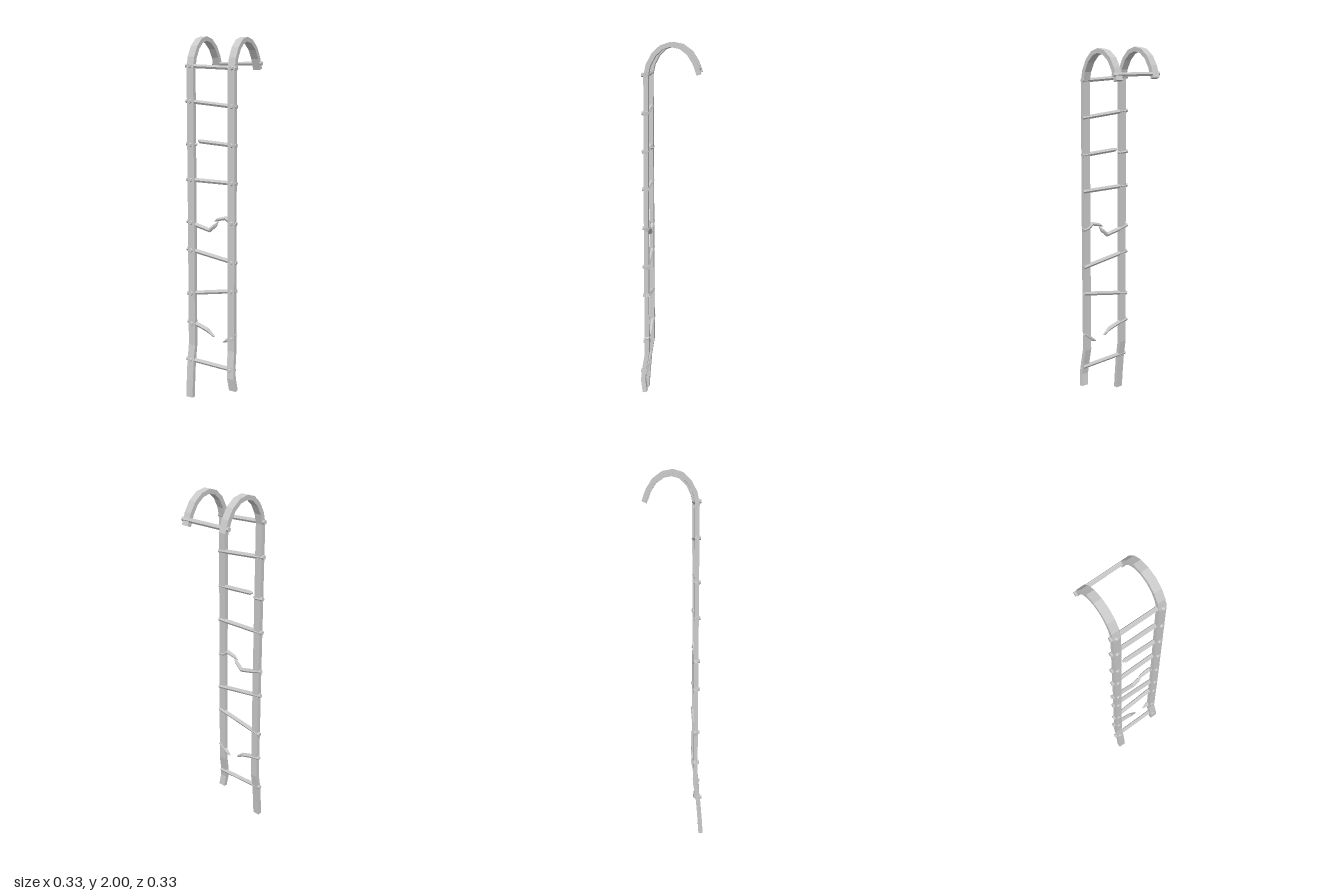
import * as THREE from 'three';

const X_AXIS = new THREE.Vector3(1, 0, 0);
const Z_AXIS = new THREE.Vector3(0, 0, 1);
const material = new THREE.MeshStandardMaterial({ color: 0xcccccc, flatShading: true });

// Sweeps a convex section along [x, y, z, scale] points, keeping one section axis fixed
function sweep(points, section, axis) {
  const path = points.map((p) => new THREE.Vector3(p[0], p[1], p[2]));
  const n = section.length, last = path.length - 1;
  const positions = [], index = [];
  path.forEach((p, i) => {
    const tangent = new THREE.Vector3();
    if (i > 0) tangent.add(p.clone().sub(path[i - 1]).normalize());
    if (i < last) tangent.add(path[i + 1].clone().sub(p).normalize());
    const v = tangent.normalize().cross(axis).normalize();
    const s = points[i][3] ?? 1;
    for (const [a, b] of section) {
      const q = p.clone().addScaledVector(axis, a * s).addScaledVector(v, b * s);
      positions.push(q.x, q.y, q.z);
    }
  });
  for (let i = 0; i < last; i++) {
    for (let j = 0; j < n; j++) {
      const a = i * n + j, b = i * n + (j + 1) % n;
      index.push(a, b, b + n, a, b + n, a + n);
    }
  }
  for (let j = 1; j < n - 1; j++) {
    index.push(0, j + 1, j, last * n, last * n + j, last * n + j + 1);
  }
  const g = new THREE.BufferGeometry();
  g.setAttribute('position', new THREE.Float32BufferAttribute(positions, 3));
  g.setIndex(index);
  const flat = g.toNonIndexed();
  flat.computeVertexNormals();
  return flat;
}

const railSection = [[-0.021, -0.012], [0.021, -0.012], [0.021, 0.012], [-0.021, 0.012]];
const rungSection = Array.from({ length: 6 }, (_, i) => {
  const a = (i / 6) * Math.PI * 2;
  return [0.012 * Math.cos(a), 0.012 * Math.sin(a)];
});

// Hook over the top, as [z, y]
const hook = [
  [0.125, 1.83], [0.113, 1.885], [0.085, 1.937], [0.045, 1.974], [0, 1.988],
  [-0.05, 1.978], [-0.095, 1.945], [-0.126, 1.897], [-0.148, 1.837],
];

export function createModel() {
  const model = new THREE.Group();
  const add = (name, geometry) => {
    const mesh = new THREE.Mesh(geometry, material);
    mesh.name = name;
    model.add(mesh);
    return mesh;
  };

  // Side rails, bent at the foot and curled at the top; the left one is snapped short
  add('rightRail', sweep([
    [-0.129, 0, 0.157], [-0.13, 0.1, 0.15], [-0.131, 0.2, 0.141], [-0.131, 0.3, 0.125],
    [-0.13, 1.0, 0.125],
    ...hook.map(([z, y]) => [-0.133 + 0.015 * Math.max(0, z), y, z]),
  ], railSection, X_AXIS));
  add('leftRail', sweep([
    [0.142, 0.09, 0.136], [0.135, 0.16, 0.146], [0.13, 0.22, 0.14], [0.126, 0.31, 0.125],
    [0.125, 1.0, 0.125],
    ...hook.map(([z, y]) => [0.118 + 0.04 * Math.max(0, z), y - 0.012, z - 0.003]),
  ], railSection, X_AXIS));

  // Whole rungs: height at the right rail and at the left rail
  const rung = (name, pts) => add(name, sweep(pts, rungSection, Z_AXIS));
  const whole = [
    [1.84, 1.825], [1.655, 1.63], [1.235, 1.23], [0.845, 0.805], [0.6, 0.645],
    [0.215, 0.205, 0.014],
  ];
  for (const [yr, yl, dz = 0] of whole) {
    const slope = (yl - yr) / 0.257;
    rung('rung', [
      [-0.164, yr - 0.032 * slope, 0.123 + dz],
      [0.149, yl + 0.024 * slope, 0.118 + dz],
    ]);
  }
  rung('hookRung', [[-0.164, 1.86, -0.14], [0.149, 1.855, -0.145]]);

  // Broken rungs, with tapered torn ends
  const z = 0.121;
  const broken = [
    [[-0.164, 1.43, z], [-0.115, 1.425, z], [-0.098, 1.428, z, 0.4]],
    [[-0.09, 1.449, z, 0.4], [-0.075, 1.444, z], [0.149, 1.428, z]],
    [[-0.164, 1.005, z], [-0.11, 0.988, z], [-0.02, 0.966, z], [0.015, 0.995, z, 0.9], [0.038, 1.02, z, 0.15]],
    [[0.012, 1.018, z, 0.15], [0.035, 1.03, z, 0.8], [0.085, 1.042, z], [0.115, 1.02, z], [0.149, 1.013, z]],
    [[-0.164, 0.434, z], [-0.09, 0.418, z], [-0.035, 0.4, z], [0.006, 0.37, z, 0.45]],
    [[0.066, 0.348, z, 0.25], [0.09, 0.362, z, 0.9], [0.12, 0.385, z], [0.147, 0.408, z]],
  ];
  for (const pts of broken) rung('brokenRung', pts);

  // Bolt heads on the front of the rails
  const boltGeometry = new THREE.CylinderGeometry(0.01, 0.013, 0.012, 6).rotateX(Math.PI / 2);
  const bolts = [...whole, [1.425, 1.43], [1.0, 1.018], [0.425, 0.38]];
  for (const [yr, yl, dz = 0] of bolts) {
    add('bolt', boltGeometry).position.set(-0.132, yr, 0.14 + dz);
    add('bolt', boltGeometry).position.set(0.126, yl, 0.14 + dz);
  }
  return model;
}
